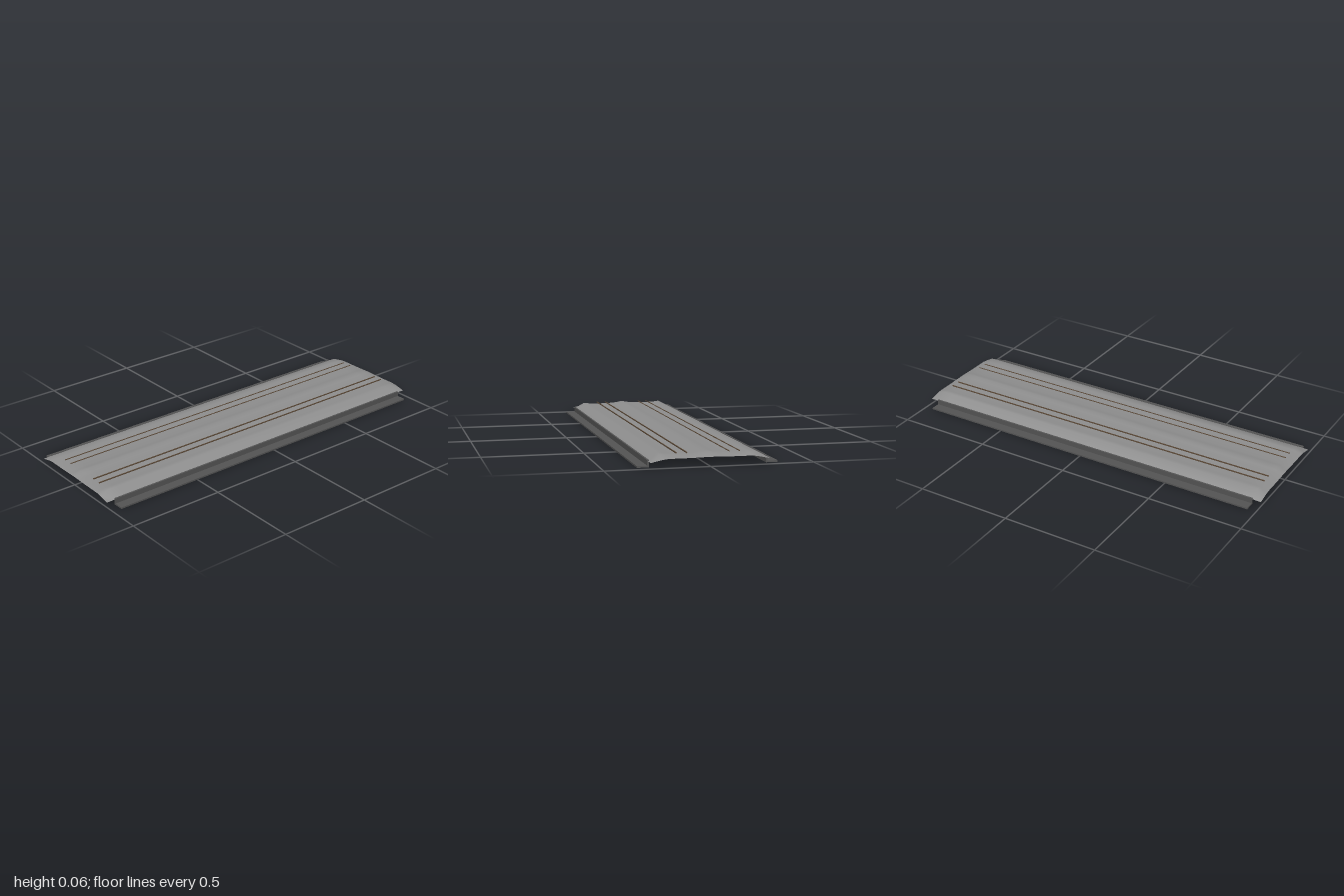
import * as THREE from 'three';

const mat = (name, color, side = THREE.FrontSide) => {
  const m = new THREE.MeshStandardMaterial({ color, side });
  m.name = name;
  return m;
};

// Half cross-sections of the deck as [x, y], from the centre ridge to the edge
const BODY = [[0, 0.063], [0.025, 0.058], [0.05, 0.0545], [0.1, 0.052], [0.15, 0.052], [0.2, 0.054], [0.23, 0.058], [0.285, 0.029]];
const END = [[0, 0.045], [0.025, 0.0445], [0.05, 0.044], [0.1, 0.043], [0.15, 0.043], [0.2, 0.043], [0.23, 0.039], [0.285, 0.027]];

const mirrored = half => [...half.slice(1).reverse().map(([x, y]) => [-x, y]), ...half];

// Thin sheet lofted through the sections along z
function deckGeometry() {
  const rows = [[-1, END], [-0.955, BODY], [-0.9, BODY], [0, BODY], [0.9, BODY], [0.955, BODY], [1, END]];
  const positions = [], index = [];
  const n = BODY.length * 2 - 1;
  for (const [z, half] of rows) for (const [x, y] of mirrored(half)) positions.push(x, y, z);
  for (let r = 0; r < rows.length - 1; r++) {
    for (let c = 0; c < n - 1; c++) {
      const a = r * n + c, b = a + 1, d = a + n, e = d + 1;
      index.push(a, d, b, b, d, e);
    }
  }
  const g = new THREE.BufferGeometry();
  g.setAttribute('position', new THREE.Float32BufferAttribute(positions, 3));
  g.setIndex(index);
  g.computeVertexNormals();
  return g;
}

// Extrudes an [x, y] outline along z, centred
function bar(points, length) {
  const shape = new THREE.Shape(points.map(([x, y]) => new THREE.Vector2(x, y)));
  const g = new THREE.ExtrudeGeometry(shape, { depth: length, bevelEnabled: false });
  return g.translate(0, 0, -length / 2);
}

export function createModel() {
  const group = new THREE.Group();
  const deckGrey = mat('deck grey', 0x8e8e8e, THREE.DoubleSide);
  const curbGrey = mat('curb dark grey', 0x545454);
  const railBrown = mat('rail brown', 0x5c4a38, THREE.DoubleSide);
  const add = (name, geometry, material) => {
    const m = new THREE.Mesh(geometry, material);
    m.name = name;
    group.add(m);
  };

  add('deck', deckGeometry(), deckGrey);

  for (const s of [1, -1]) {
    const side = s > 0 ? 'left' : 'right';

    // Angled curb: upright against the deck, walkway outward
    const curb = [[0.28, 0], [0.338, 0], [0.338, 0.008], [0.289, 0.008], [0.289, 0.034], [0.28, 0.034]];
    add(side + 'Curb', bar(curb.map(([x, y]) => [s * x, y]), 1.91), curbGrey);

    // Two thin angle rails: a top flange with a lip on the outer side
    for (const [name, x] of [['InnerRail', 0.1], ['OuterRail', 0.15]]) {
      const rail = [[-0.002, 0.063], [-0.002, 0.062], [0.0017, 0.062], [0.0017, 0.058], [0.0027, 0.058], [0.0027, 0.063]];
      add(side + name, bar(rail.map(([dx, y]) => [s * (x + dx), y]), 1.91), railBrown);
    }
  }
  return group;
}
